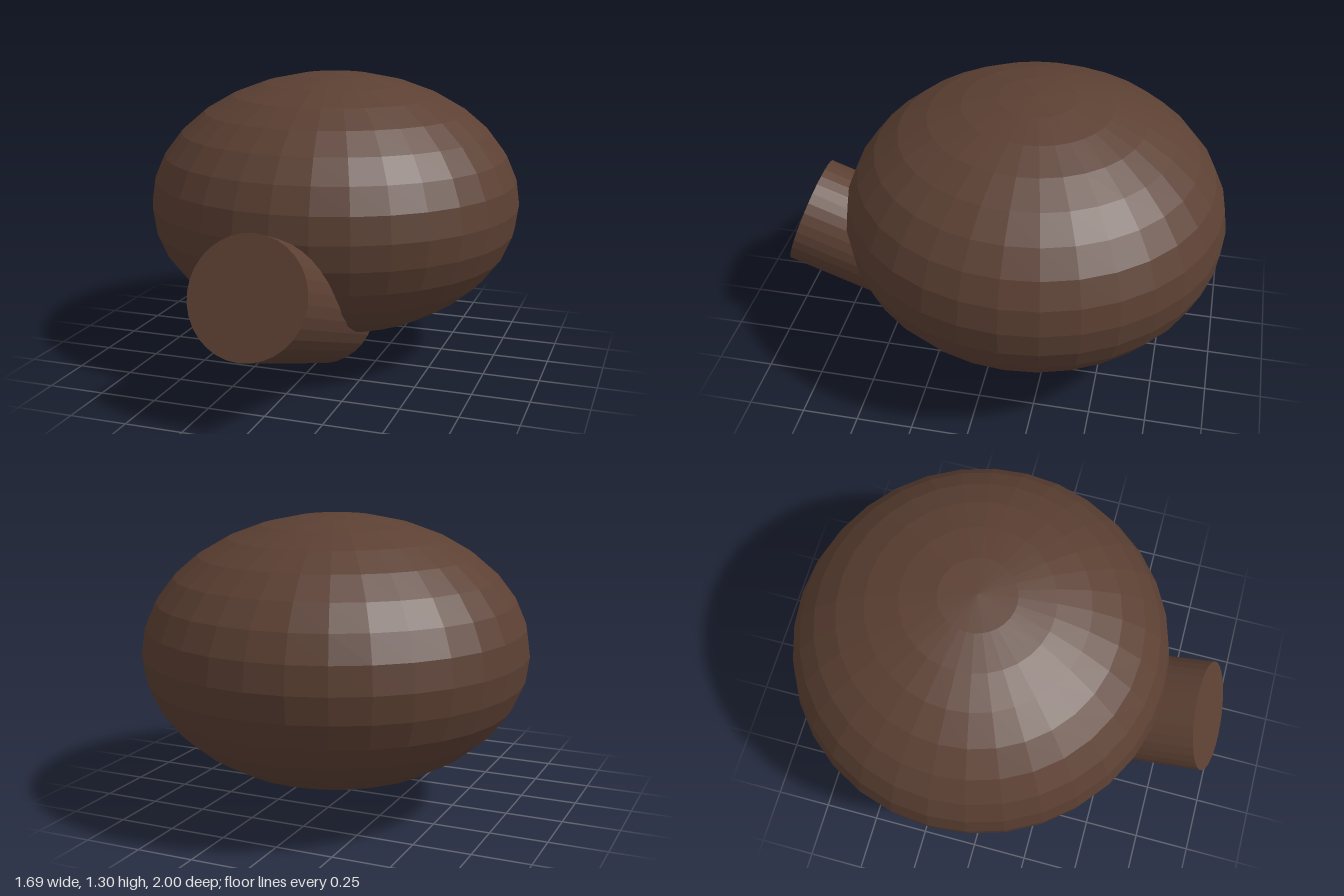
import * as THREE from 'three';

export function createModel() {
  const group = new THREE.Group();
  const material = new THREE.MeshStandardMaterial({ color: 0x5c4033, flatShading: true });

  // Flattened round body
  const body = new THREE.Mesh(new THREE.SphereGeometry(0.845, 32, 16), material);
  body.name = 'body';
  body.scale.y = 0.7;
  body.position.set(0, 0.715, -0.155);
  group.add(body);

  // Tilted cylinder rising forward from under the body
  const neck = new THREE.Mesh(new THREE.CylinderGeometry(0.25, 0.25, 0.94, 32), material);
  neck.name = 'neck';
  neck.position.set(0, 0.398, 0.473);
  neck.rotation.x = THREE.MathUtils.degToRad(70);
  group.add(neck);

  return group;
}
